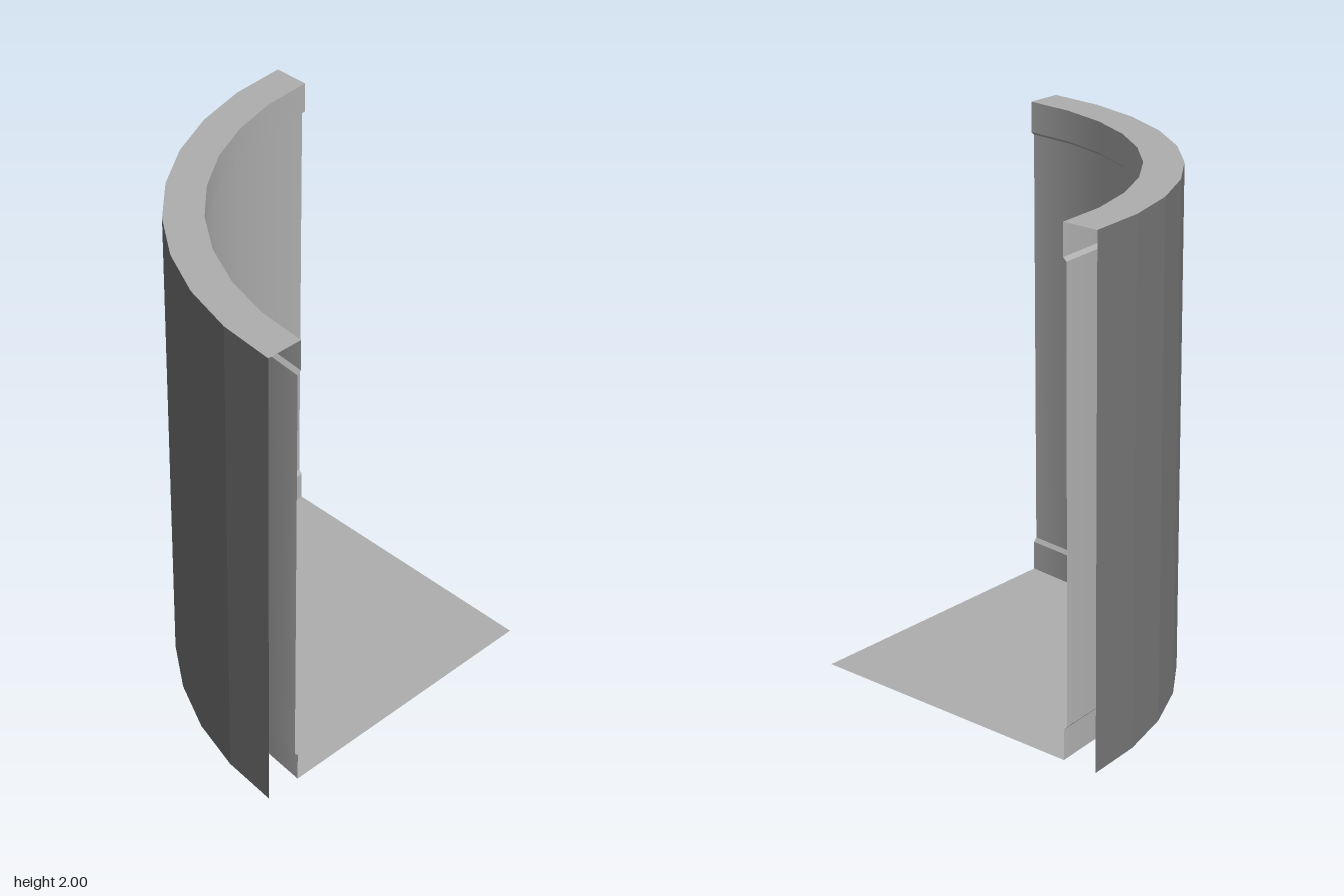
import * as THREE from 'three';

const R_OUT = 1.333, R_LIP = 1.185, R_WALL = 1.2, HEIGHT = 2;
const SEGMENTS = 9;

const paint = (color, flatShading) =>
  new THREE.MeshStandardMaterial({ color, flatShading, side: THREE.DoubleSide });
const smooth = paint(0xaeaeae, false);
const faceted = paint(0xaeaeae, true);
const darkFaceted = paint(0x757575, true);

export function createModel() {
  const model = new THREE.Group();
  model.name = 'quarterRoundWall';

  // Sweeps one straight profile piece [radius, y] -> [radius, y] through the quarter turn
  const sweep = (name, from, to, material) => {
    const points = [from, to].map(([r, y]) => new THREE.Vector2(r, y));
    const geometry = new THREE.LatheGeometry(points, SEGMENTS, Math.PI, Math.PI / 2);
    const mesh = new THREE.Mesh(geometry, material);
    mesh.name = name;
    mesh.position.set(R_OUT / 2, 0, R_OUT / 2);
    model.add(mesh);
  };

  // Dark outer skin and paler top rim; the ends and underside of the wall stay open
  sweep('outerWall', [R_OUT, 0], [R_OUT, HEIGHT], darkFaceted);
  sweep('topRim', [R_OUT, HEIGHT], [R_LIP, HEIGHT], faceted);

  // Inner skin: recessed panel between two bevelled bands
  sweep('upperBand', [R_LIP, HEIGHT], [R_LIP, 1.878], smooth);
  sweep('upperBevel', [R_LIP, 1.878], [R_WALL, 1.865], smooth);
  sweep('innerWall', [R_WALL, 1.865], [R_WALL, 0.137], smooth);
  sweep('lowerBevel', [R_WALL, 0.137], [R_LIP, 0.122], smooth);
  sweep('lowerBand', [R_LIP, 0.122], [R_LIP, 0], smooth);

  // Thin wedge-shaped floor
  sweep('floor', [R_LIP, 0], [0, 0], faceted);

  return model;
}
